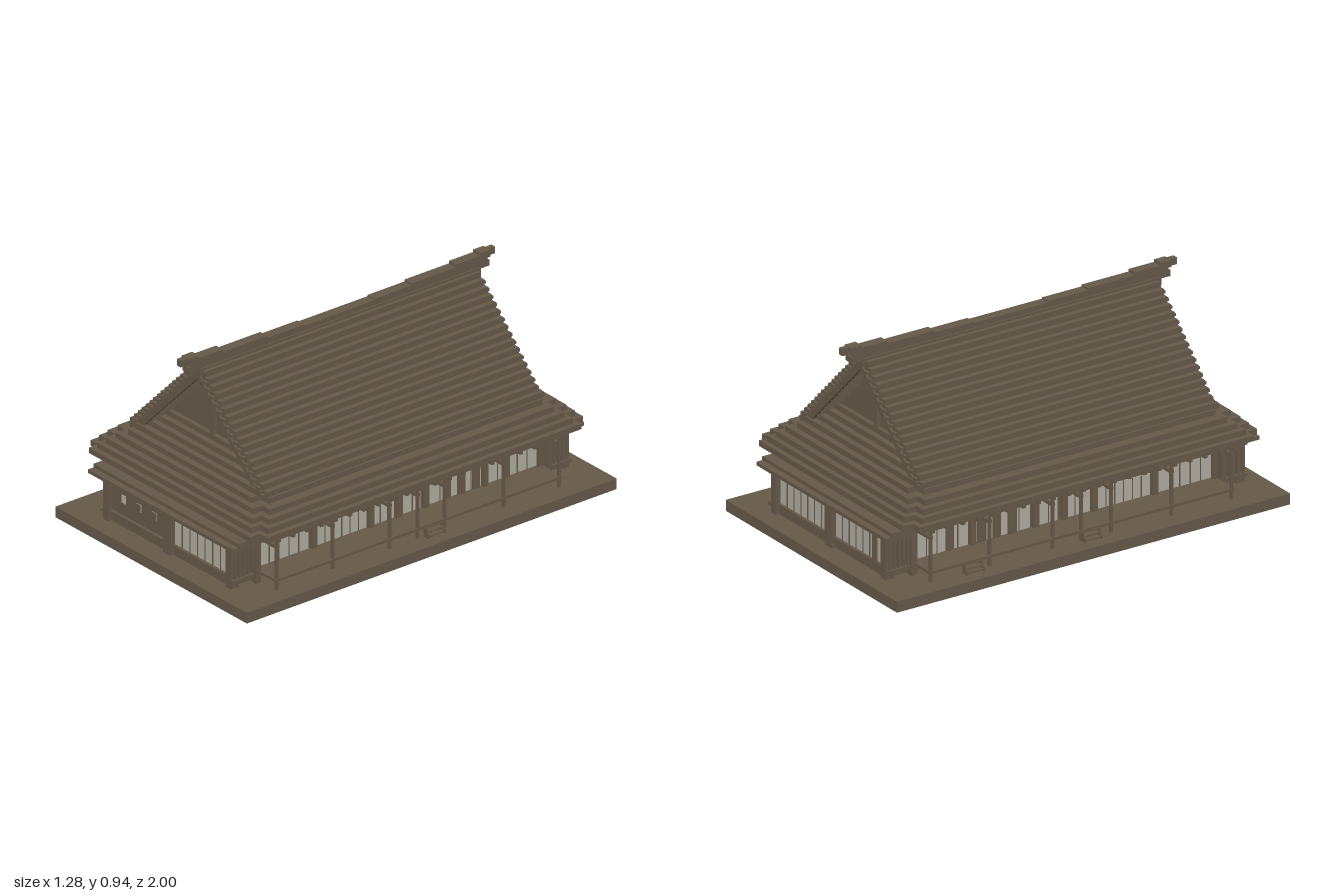
import * as THREE from 'three';

const wood = new THREE.MeshStandardMaterial({ color: 0x655848 });
wood.name = 'weathered brown';
const paper = new THREE.MeshStandardMaterial({ color: 0xb0aca0 });
paper.name = 'pale paper';

// Box given by its limits on each axis
function box(parent, name, x0, x1, y0, y1, z0, z1, mat = wood) {
  const mesh = new THREE.Mesh(
    new THREE.BoxGeometry(Math.abs(x1 - x0), Math.abs(y1 - y0), Math.abs(z1 - z0)), mat);
  mesh.position.set((x0 + x1) / 2, (y0 + y1) / 2, (z0 + z1) / 2);
  mesh.name = name;
  parent.add(mesh);
  return mesh;
}

function part(parent, name) {
  const g = new THREE.Group();
  g.name = name;
  parent.add(g);
  return g;
}

// Paper screen on a wall facing +z, with thin bars
function screen(parent, x0, x1, y0, y1, z, bars) {
  const g = part(parent, 'paperScreen');
  box(g, 'paper', x0, x1, y0, y1, z, z + 0.004, paper);
  for (let i = 1; i < bars; i++) {
    const x = x0 + (x1 - x0) * i / bars;
    box(g, 'screenBar', x - 0.002, x + 0.002, y0, y1, z, z + 0.007);
  }
  return g;
}

const STEP = 0.0255;

function buildRoof(root) {
  const roof = part(root, 'roof');

  // Hipped lower courses with notched corners
  const xs = [0.59, 0.565, 0.54, 0.51, 0.465];
  const zs = [0.9, 0.875, 0.85, 0.82, 0.79];
  xs.forEach((x, i) => {
    const y = 0.31 + i * STEP;
    const z = zs[i];
    box(roof, 'hipCourse', -x, x, y, y + STEP, -z + 0.05, z - 0.05);
    box(roof, 'hipCourse', -x + 0.05, x - 0.05, y, y + STEP, -z, z);
  });
  // Courses that run in under the gable overhang
  for (let i = 0; i < 4; i++) {
    const y = 0.4375 + i * STEP;
    const x = 0.43 - i * 0.03;
    const z = 0.76 - i * 0.028;
    box(roof, 'gableSkirt', -x, x, y, y + STEP, -z, z);
  }

  // Stepped main slopes
  for (const s of [1, -1]) {
    for (let i = 0; i < 17; i++) {
      const y = 0.4375 + i * STEP;
      const x = 0.455 - i * STEP;
      box(roof, 'slopeCourse', s * Math.max(x - 0.075, 0), s * x, y, y + STEP, -0.745, 0.745);
      // Batten end under each verge step
      if (x > 0.05) box(roof, 'batten', s * (x - 0.03), s * (x - 0.008), y, y + 0.013, -0.758, 0.758);
    }
    // Barge boards along both gables
    for (const e of [1, -1]) {
      const board = box(roof, 'bargeBoard', -0.285, 0.285, -0.012, 0.012, -0.008, 0.008);
      board.position.set(s * 0.195, 0.645, e * 0.744);
      board.rotation.z = -s * Math.PI / 4;
    }
  }

  // Recessed gable wall with a king post at each end
  const tri = new THREE.Shape([
    new THREE.Vector2(-0.38, 0.5), new THREE.Vector2(0.38, 0.5), new THREE.Vector2(0, 0.87)]);
  const wall = new THREE.Mesh(
    new THREE.ExtrudeGeometry(tri, { depth: 1.31, bevelEnabled: false }), wood);
  wall.position.z = -0.655;
  wall.name = 'gableWall';
  roof.add(wall);
  for (const e of [1, -1]) {
    box(roof, 'kingPost', -0.013, 0.013, 0.54, 0.83, e * 0.65, e * 0.675);
  }

  // Ridge rising in steps towards both ends
  const ridge = part(roof, 'ridge');
  box(ridge, 'ridgeCore', -0.03, 0.03, 0.845, 0.882, -0.76, 0.76);
  box(ridge, 'ridgeBeam', -0.024, 0.024, 0.872, 0.9, -0.81, 0.81);
  box(ridge, 'ridgeCap', -0.024, 0.024, 0.88, 0.905, -0.19, 0.19);
  for (const e of [1, -1]) {
    [[0.19, 0.39, 0.911], [0.39, 0.63, 0.92], [0.63, 0.8, 0.932]].forEach(([a, b, y]) =>
      box(ridge, 'ridgeCap', -0.024, 0.024, 0.88, y, e * a, e * b));
    box(ridge, 'ridgeTip', -0.024, 0.024, 0.912, 0.944, e * 0.76, e * 0.815);
    box(ridge, 'ridgeTip', -0.012, 0.012, 0.912, 0.944, e * 0.8, e * 0.85);
  }
}

// End wall facing +z; the back is turned round
function buildEnd(root, isFront) {
  const end = part(root, isFront ? 'frontWall' : 'backWall');
  box(end, 'endWall', -0.41, 0.41, 0.05, 0.27, 0.78, 0.89);
  for (const x of [-0.41, 0, 0.41]) {
    const w = x === 0 ? 0.025 : 0.018;
    box(end, 'wallPost', x - w, x + w, 0.05, 0.255, 0.87, 0.915);
  }
  box(end, 'lintel', -0.44, 0.44, 0.238, 0.256, 0.87, 0.91);
  box(end, 'sill', -0.41, 0.41, 0.085, 0.1, 0.87, 0.905);
  for (const s of [1, -1]) box(end, 'footPanel', s * 0.03, s * 0.385, 0.05, 0.08, 0.88, 0.897);
  screen(end, 0.028, 0.385, 0.102, 0.236, 0.89, 7);
  if (isFront) {
    // Boarded half with three small windows
    box(end, 'boardPanel', -0.388, -0.028, 0.105, 0.248, 0.885, 0.898);
    [-0.308, -0.205, -0.103].forEach((x, i) => {
      box(end, 'smallWindow', x - 0.014, x + 0.014, 0.163, 0.2, 0.897, 0.901, paper);
      if (i) for (const d of [-0.009, 0.004]) {
        box(end, 'windowBar', x + d, x + d + 0.009, 0.163, 0.2, 0.898, 0.905);
      }
    });
  } else {
    screen(end, -0.385, -0.028, 0.102, 0.236, 0.89, 7);
    box(end, 'slidingDoor', 0.31, 0.34, 0.1, 0.236, 0.88, 0.902);
  }
  // Slatted returns beside the end wall
  for (const s of [1, -1]) {
    for (let i = 0; i < 5; i++) {
      const z = 0.8 + i * 0.023;
      box(end, 'slat', s * 0.425, s * 0.44, 0.085, 0.25, z, z + 0.01);
    }
    box(end, 'slatRail', s * 0.41, s * 0.445, 0.08, 0.095, 0.79, 0.915);
    box(end, 'slatRail', s * 0.41, s * 0.445, 0.225, 0.24, 0.79, 0.915);
    box(end, 'bracket', s * 0.42, s * 0.455, 0.05, 0.235, 0.775, 0.8);
  }
  // Low pent roof over the end wall
  box(end, 'pentRoof', -0.485, 0.485, 0.254, 0.27, 0.76, 0.95);
  box(end, 'pentRoof', -0.485, 0.485, 0.27, 0.287, 0.76, 0.92);
  box(end, 'pentRoof', -0.47, 0.47, 0.287, 0.31, 0.76, 0.87);
  if (!isFront) end.rotation.y = Math.PI;
}

// Long side with its veranda, on +x or -x
function buildSide(root, s, stairs) {
  const side = part(root, s > 0 ? 'leftSide' : 'rightSide');
  const posts = [0.765, 0.46, 0.153, 0, -0.145, -0.465, -0.765];

  box(side, 'verandaFloor', s * 0.4, s * 0.555, 0.088, 0.1, -0.775, 0.775);
  box(side, 'eaveBeam', s * 0.535, s * 0.557, 0.285, 0.31, -0.8, 0.8);
  box(side, 'wallBeam', s * 0.4, s * 0.43, 0.238, 0.252, -0.78, 0.78);
  box(side, 'topBeam', s * 0.4, s * 0.43, 0.292, 0.31, -0.78, 0.78);
  posts.forEach((z) => {
    box(side, 'verandaPost', s * 0.54, s * 0.552, 0.05, 0.3, z - 0.006, z + 0.006);
    box(side, 'wallPost', s * 0.4, s * 0.428, 0.05, 0.3, z - 0.014, z + 0.014);
    box(side, 'tieBeam', s * 0.41, s * 0.552, 0.245, 0.26, z - 0.008, z + 0.008);
  });
  for (let i = 0; i <= 20; i++) {
    const z = -0.77 + i * 0.077;
    box(side, 'rafter', s * 0.41, s * 0.575, 0.284, 0.31, z - 0.008, z + 0.008);
  }

  // Screens and boards between the wall posts
  const bays = [[0.75, 0.485, 0.236, 5], [0.44, 0.17, 0.2, 6], [0.135, 0.02, 0.2, 3],
    [-0.03, -0.122, 0.236, 2], [-0.17, -0.45, 0.236, 5], [-0.485, -0.75, 0.236, 5]];
  const wall = part(side, 'sideScreens');
  wall.rotation.y = s * Math.PI / 2;
  bays.forEach(([a, b, top, bars]) => {
    const u = [-s * a, -s * b].sort((p, q) => p - q);
    screen(wall, u[0], u[1], 0.102, top, 0.41, bars);
    // Transom with pale gaps
    const n = Math.max(2, Math.round((a - b) / 0.03));
    for (let i = 0; i < n; i++) {
      const c = u[0] + (u[1] - u[0]) * (i + 0.5) / n;
      box(wall, 'transomGap', c - 0.006, c + 0.006, 0.258, 0.288, 0.41, 0.414, paper);
    }
  });
  for (const z of [-0.26, -0.34, -0.42, -0.58]) {
    box(side, 'slidingBoard', s * 0.405, s * 0.42, 0.1, 0.236, z - 0.02, z + 0.02);
  }

  // Steps up to the veranda
  stairs.forEach((z) => {
    const g = part(side, 'steps');
    for (let i = 0; i < 3; i++) {
      const x = 0.587 - i * 0.014;
      const y = 0.058 + i * 0.014;
      box(g, 'tread', s * (x - 0.018), s * x, y, y + 0.006, z - 0.045, z + 0.045);
    }
    for (const d of [-0.045, 0.04]) {
      box(g, 'stringer', s * 0.55, s * 0.568, 0.05, 0.092, z + d, z + d + 0.006);
      box(g, 'stringer', s * 0.568, s * 0.584, 0.05, 0.07, z + d, z + d + 0.006);
    }
  });
}

export function createModel() {
  const root = new THREE.Group();
  root.name = 'thatchedFarmhouse';
  box(root, 'base', -0.64, 0.64, 0, 0.05, -1, 1);
  box(root, 'houseBody', -0.41, 0.41, 0.05, 0.31, -0.78, 0.78);
  buildRoof(root);
  buildEnd(root, true);
  buildEnd(root, false);
  buildSide(root, 1, [-0.075]);
  buildSide(root, -1, [-0.56, 0.04]);
  return root;
}
